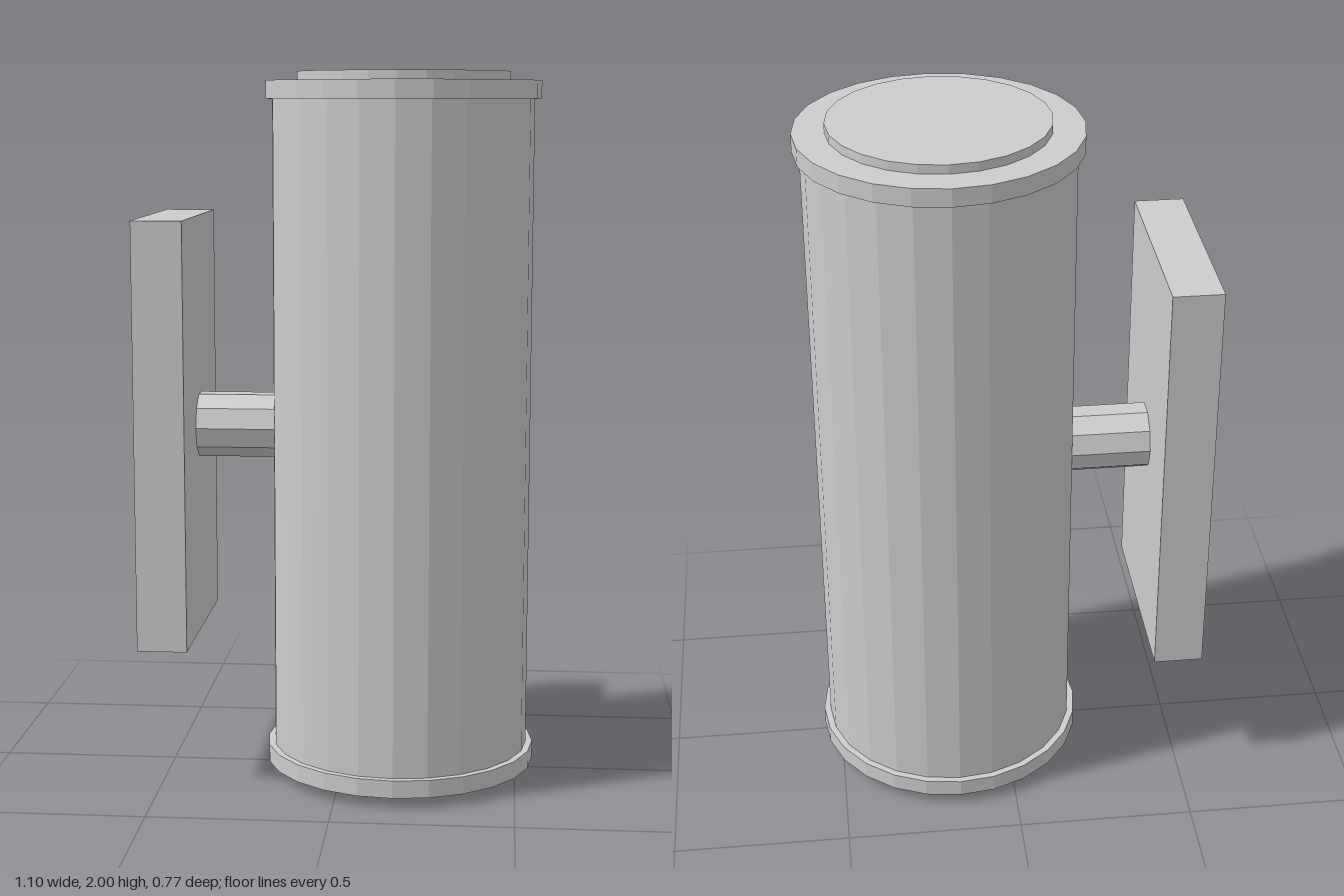
import * as THREE from 'three';

export function createModel() {
  const group = new THREE.Group();
  const metal = new THREE.MeshStandardMaterial({ color: 0xcccccc });
  metal.name = 'light grey metal';
  metal.flatShading = true;

  const add = (name, geometry, x, y) => {
    const mesh = new THREE.Mesh(geometry, metal);
    mesh.name = name;
    mesh.position.set(x, y, 0);
    group.add(mesh);
    return mesh;
  };

  // upright lamp tube, faceted with 24 sides
  const axisX = 0.165;
  const disc = (name, radius, bottom, top) =>
    add(name, new THREE.CylinderGeometry(radius, radius, top - bottom, 24), axisX, (bottom + top) / 2);
  disc('lampTube', 0.366, 0.05, 1.95);

  // end rims and the lenses that protrude from them
  disc('bottomRim', 0.385, 0.03, 0.08);
  disc('topRim', 0.385, 1.925, 1.975);
  disc('bottomLens', 0.298, 0, 0.03);
  disc('topLens', 0.298, 1.975, 2);

  // wall plate on the model's right side
  add('wallPlate', new THREE.BoxGeometry(0.14, 1.195, 0.596), -0.483, 1.003);

  // ten-sided arm joining plate and tube
  const arm = add('mountingArm', new THREE.CylinderGeometry(0.094, 0.094, 0.27, 10), -0.3, 1.003);
  arm.rotation.z = Math.PI / 2;

  return group;
}
